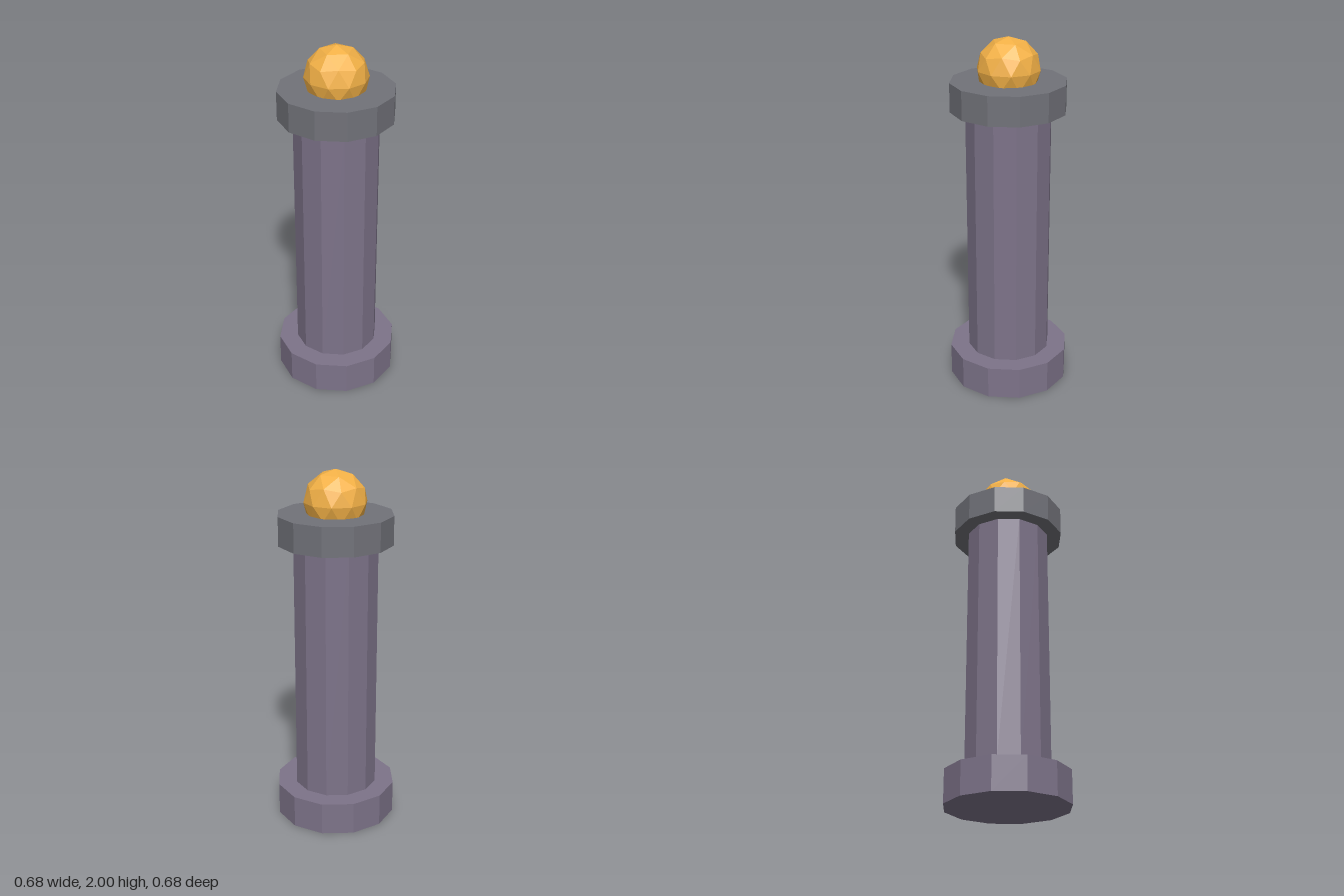
import * as THREE from 'three';

const SIDES = 12;

export function createModel() {
  const model = new THREE.Group();
  model.name = 'pillar';

  const material = (color) => new THREE.MeshStandardMaterial({ color, flatShading: true });
  const stone = material(0x7d7389);
  const slate = material(0x717279);
  const gold = material(0xf2b046);

  const add = (name, geometry, mat, y) => {
    const mesh = new THREE.Mesh(geometry, mat);
    mesh.name = name;
    mesh.position.y = y;
    model.add(mesh);
  };

  // Twelve-sided drum between two heights
  const drum = (name, radius, bottom, top, mat) =>
    add(name, new THREE.CylinderGeometry(radius, radius, top - bottom, SIDES), mat, (bottom + top) / 2);

  drum('base', 0.342, 0, 0.185, stone);
  drum('shaft', 0.235, 0.185, 1.605, stone);
  drum('capital', 0.317, 1.605, 1.765, slate);

  // Faceted ball sunk into the capital, turned so a corner points straight up
  const radius = 0.173;
  const ball = new THREE.IcosahedronGeometry(radius, 1);
  ball.rotateX(-Math.atan((1 + Math.sqrt(5)) / 2));
  ball.rotateY(Math.PI / 2);
  add('finialBall', ball, gold, 2 - radius);

  return model;
}
